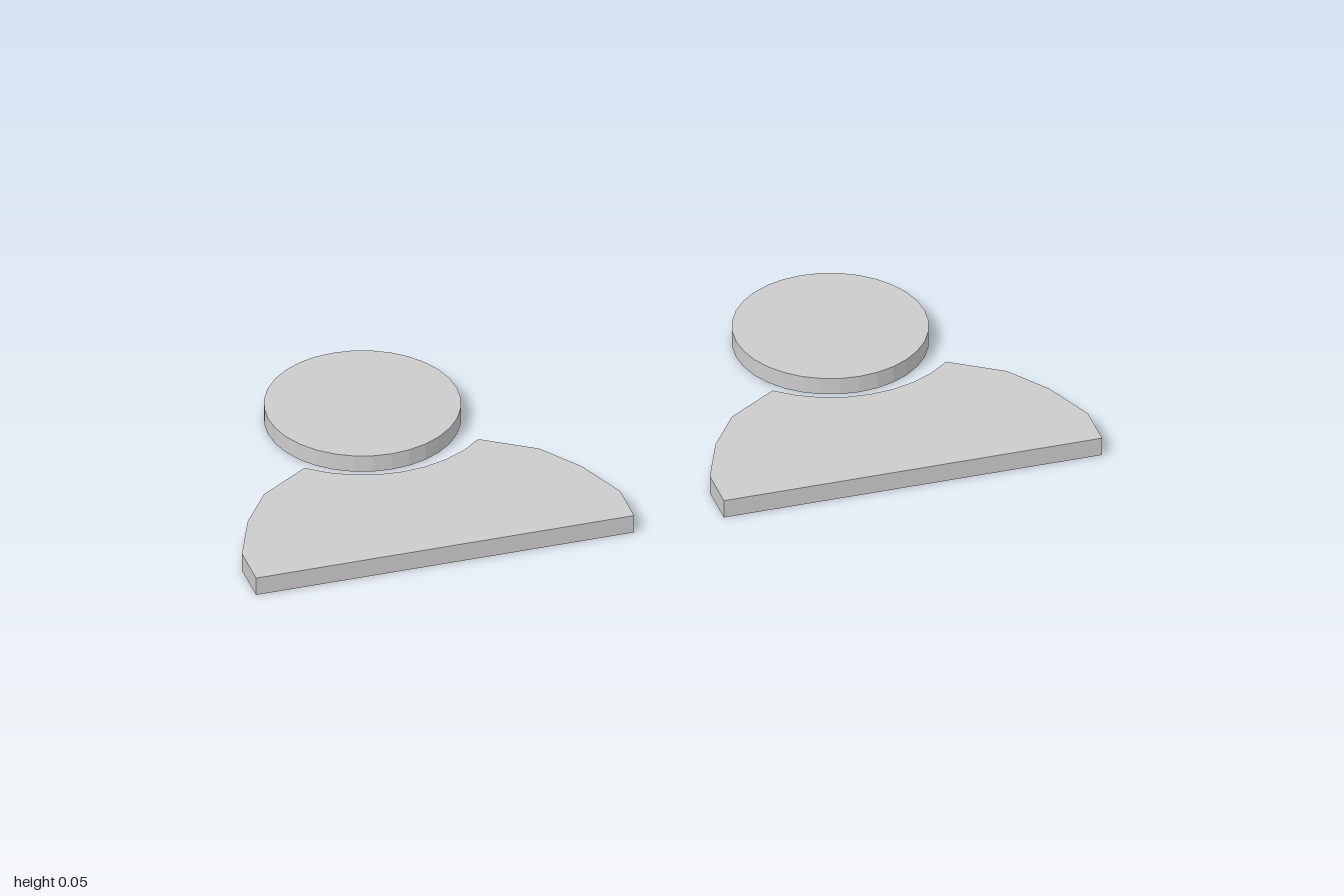
import * as THREE from 'three';

const HEAD_Z = -0.205, HEAD_R = 0.223, NOTCH_R = 0.302, TOP = 0.045;

// Shoulder outline in (x, z), with a neck notch concentric with the head
function shoulderShape() {
  const side = [[0.447, 0.428], [0.447, 0.32], [0.395, 0.195], [0.325, 0.095]];
  const points = side.map(([x, z]) => new THREE.Vector2(x, z));
  const half = 0.747, steps = 8;
  for (let i = 0; i <= steps; i++) {
    const a = half - (2 * half * i) / steps;
    points.push(new THREE.Vector2(Math.sin(a) * NOTCH_R, HEAD_Z + Math.cos(a) * NOTCH_R));
  }
  for (const [x, z] of [...side].reverse()) points.push(new THREE.Vector2(-x, z));
  return new THREE.Shape(points);
}

export function createModel() {
  const model = new THREE.Group();
  const material = new THREE.MeshStandardMaterial({ color: 0xcccccc, flatShading: true });

  // Shoulders: flat plate, extruded and laid down so its outline lies in x, z
  const shouldersGeometry = new THREE.ExtrudeGeometry(shoulderShape(), { depth: TOP, bevelEnabled: false });
  shouldersGeometry.rotateX(Math.PI / 2).translate(0, TOP, 0);

  // Head: thin disc, resting a hair above the base level
  const headGeometry = new THREE.CylinderGeometry(HEAD_R, HEAD_R, TOP - 0.003, 32);
  headGeometry.translate(0, (TOP + 0.003) / 2, HEAD_Z);

  // Two identical figures side by side
  for (const [name, x] of [['leftFigure', 0.553], ['rightFigure', -0.553]]) {
    const figure = new THREE.Group();
    figure.name = name;
    figure.position.x = x;
    const shoulders = new THREE.Mesh(shouldersGeometry, material);
    shoulders.name = 'shoulders';
    const head = new THREE.Mesh(headGeometry, material);
    head.name = 'head';
    figure.add(shoulders, head);
    model.add(figure);
  }
  return model;
}
